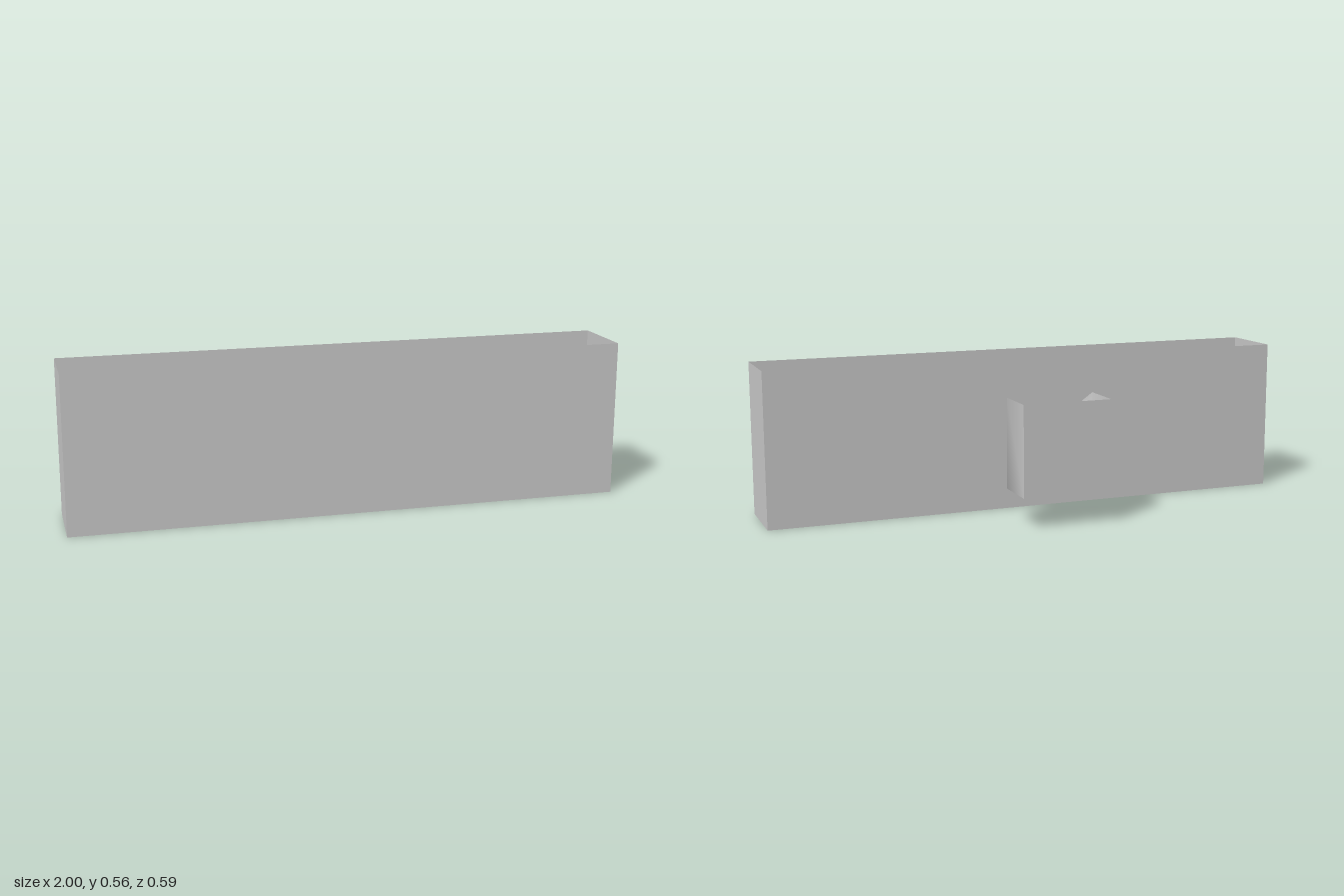
import * as THREE from 'three';
import { toCreasedNormals } from 'three/addons/utils/BufferGeometryUtils.js';

const material = new THREE.MeshStandardMaterial({ color: 0xcccccc, side: THREE.DoubleSide });
const MID = 0.2825; // height of the handle's centre line

// Cross-section open at the top, running from +x top to -x top, with optional chamfered corners
function section(halfWidth, halfHeight, chamfer = 0) {
  const w = halfWidth, h = halfHeight, c = chamfer;
  const right = c
    ? [[w - c, h], [w, h - c], [w, c - h], [w - c, -h]]
    : [[w, h], [w, -h]];
  const left = right.map(([x, y]) => [-x, y]).reverse();
  return [...right, ...left];
}

// Sheet skinned over sections placed along z, ordered from back to front
function channel(name, rings) {
  const positions = [], index = [];
  const n = rings[0].points.length;
  for (const { z, points } of rings)
    for (const [x, y] of points) positions.push(x, MID + y, z);
  for (let r = 0; r < rings.length - 1; r++) {
    for (let i = 0; i < n - 1; i++) {
      const a = r * n + i, b = a + 1, c = a + n, d = c + 1;
      index.push(a, c, b, b, c, d);
    }
  }
  const geometry = new THREE.BufferGeometry();
  geometry.setAttribute('position', new THREE.Float32BufferAttribute(positions, 3));
  geometry.setIndex(index);
  // Orient every sheet outwards: the first quad must face +x
  geometry.computeVertexNormals();
  if (geometry.attributes.normal.getX(0) < 0) {
    geometry.setIndex(index.slice().reverse());
    geometry.deleteAttribute('normal');
  }
  const mesh = new THREE.Mesh(toCreasedNormals(geometry, 1.05), material);
  mesh.name = name;
  return mesh;
}

// Upright rectangular panel
function panel(name, halfWidth, halfHeight, z, facesBack) {
  const mesh = new THREE.Mesh(new THREE.PlaneGeometry(2 * halfWidth, 2 * halfHeight), material);
  mesh.position.set(0, MID, z);
  if (facesBack) mesh.rotation.y = Math.PI;
  mesh.name = name;
  return mesh;
}

export function createModel() {
  const model = new THREE.Group();
  model.name = 'drawerWithKnob';

  // Long open-topped tray
  const tray = new THREE.Group();
  tray.name = 'tray';
  const traySection = section(1, MID);
  tray.add(
    channel('trayBottomAndEnds', [0.04, 0.297].map((z) => ({ z, points: traySection }))),
    panel('trayFront', 1, MID, 0.297, false),
    panel('trayBack', 1, MID, 0.04, true)
  );

  // Chamfered neck joining tray and knob
  const neckSection = section(0.083, 0.083, 0.018);
  const neck = channel('neck', [-0.085, 0.04].map((z) => ({ z, points: neckSection })));

  // Square open-topped knob, tapering towards the neck
  const knob = new THREE.Group();
  knob.name = 'knob';
  const profile = [[-0.297, 0.166], [-0.13, 0.166], [-0.11, 0.133], [-0.085, 0.1125]];
  knob.add(
    channel('knobShell', profile.map(([z, s]) => ({ z, points: section(s, s) }))),
    panel('knobBack', 0.166, 0.166, -0.297, true),
    panel('knobFront', 0.1125, 0.1125, -0.085, false)
  );

  model.add(tray, neck, knob);
  return model;
}
